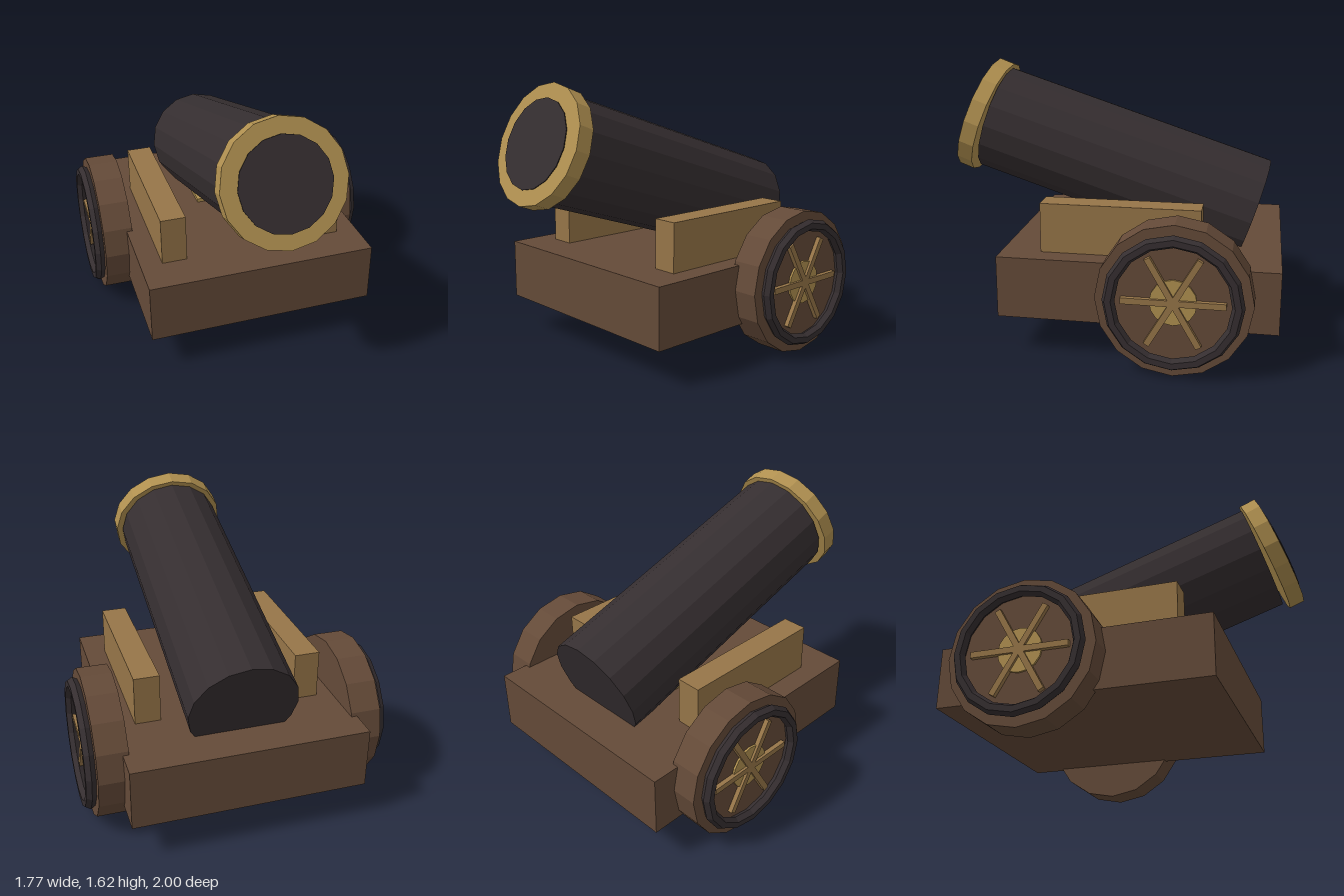
import * as THREE from 'three';

const material = (name, color) => {
  const m = new THREE.MeshStandardMaterial({ color, flatShading: true });
  m.name = name;
  return m;
};

export function createModel() {
  const wood = material('dark wood', 0x644a38);
  const paleWood = material('pale wood', 0x967548);
  const brass = material('brass', 0xb09050);
  const iron = material('iron', 0x352e30);

  const model = new THREE.Group();
  model.name = 'cannon';

  const add = (parent, name, geometry, mat, x = 0, y = 0, z = 0) => {
    const mesh = new THREE.Mesh(geometry, mat);
    mesh.name = name;
    mesh.position.set(x, y, z);
    parent.add(mesh);
    return mesh;
  };
  const box = (w, h, d) => new THREE.BoxGeometry(w, h, d);
  const disc = (radius, depth) => new THREE.CylinderGeometry(radius, radius, depth, 16);

  // Carriage bed and the wedge under the barrel
  add(model, 'carriageBed', box(1.37, 0.36, 1.6), wood, 0, 0.402, -0.2);
  add(model, 'barrelWedge', box(0.34, 0.1, 0.37), brass, 0, 0.555, -0.42);

  // Barrel, muzzle ring and bore, each tilted upward toward the front
  const tilted = (name, geometry, mat, y, z, elevation) => {
    add(model, name, geometry, mat, 0, y, z).rotation.x = Math.PI / 2 - elevation;
  };
  tilted('barrel', disc(0.32, 1.674), iron, 1.003, -0.025, 0.317);
  tilted('muzzleRing', disc(0.354, 0.094), brass, 1.28, 0.831, 0.363);
  tilted('bore', disc(0.263, 0.005), iron, 1.3, 0.887, 0.363);

  for (const side of [1, -1]) {
    // Cheek rail beside the barrel
    add(model, side > 0 ? 'leftRail' : 'rightRail', box(0.15, 0.3, 0.92), paleWood,
      side * 0.48, 0.722, -0.09);

    // Wheel: drum, iron rim, hub and three crossing bars forming six spokes
    const wheel = new THREE.Group();
    wheel.name = side > 0 ? 'leftWheel' : 'rightWheel';
    wheel.position.set(side * 0.74, 0.437, -0.43);
    model.add(wheel);
    add(wheel, 'drum', disc(0.432, 0.18), wood).rotation.z = Math.PI / 2;
    add(wheel, 'rim', new THREE.TorusGeometry(0.35, 0.035, 6, 16), iron, side * 0.117)
      .rotation.y = Math.PI / 2;
    add(wheel, 'hub', disc(0.13, 0.04), brass, side * 0.082).rotation.z = Math.PI / 2;
    for (let i = 0; i < 3; i++) {
      add(wheel, 'spokeBar', box(0.05, 0.035, 0.57), paleWood, side * 0.092)
        .rotation.x = i * Math.PI / 3;
    }
  }

  return model;
}
